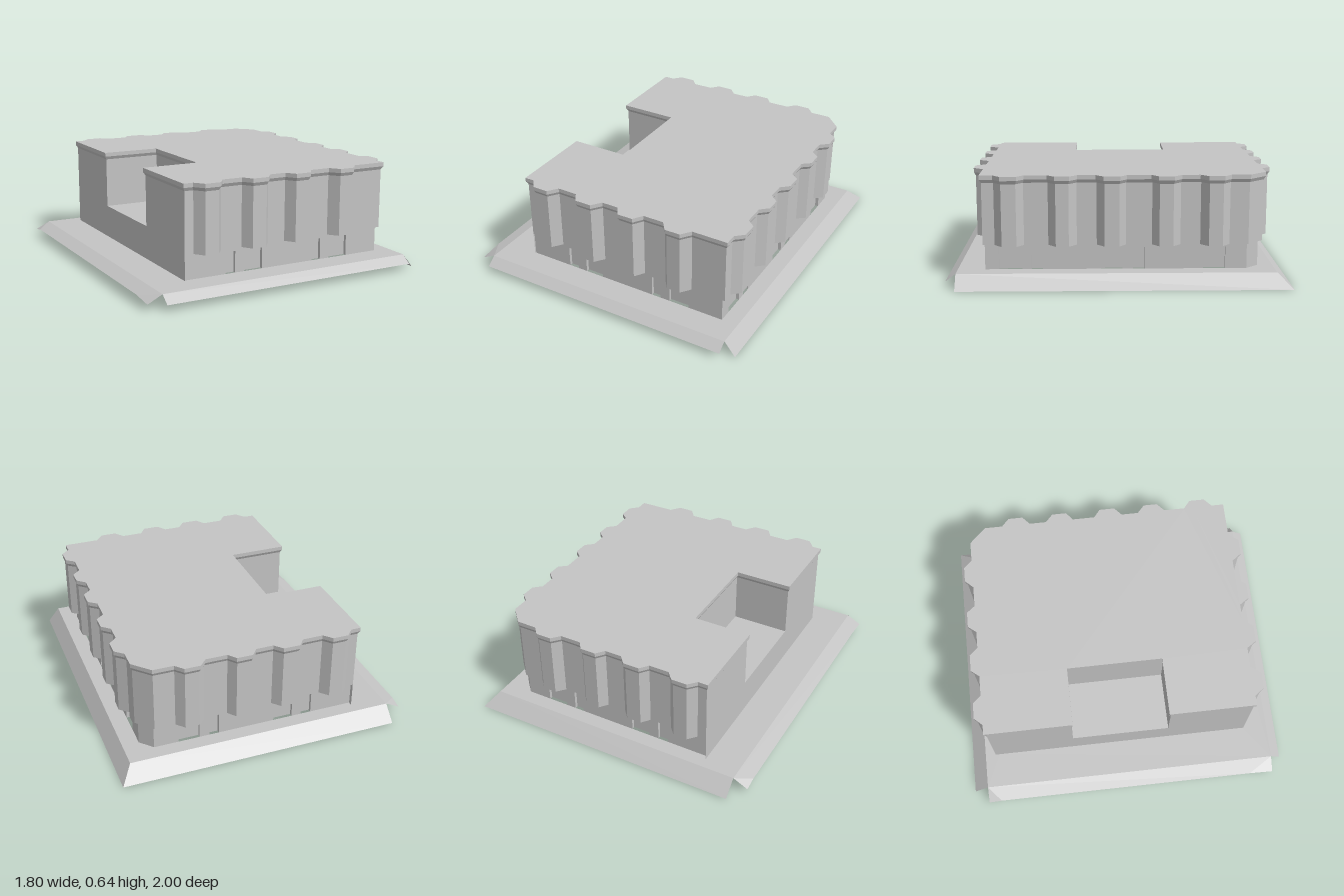
import * as THREE from 'three';

const GROUND = 0.085, LEDGE = 0.235, CORNICE = 0.6, ROOF = 0.645, TERRACE = 0.29;

export function createModel() {
  const group = new THREE.Group();
  const grey = new THREE.MeshStandardMaterial({ color: 0xc4c4c4, side: THREE.DoubleSide, flatShading: true });
  grey.name = 'concreteGrey';

  const add = (name, geometry) => {
    const mesh = new THREE.Mesh(geometry, grey);
    mesh.name = name;
    group.add(mesh);
    return mesh;
  };

  // Flat faces from lists of four corners
  const quads = (list) => {
    const pos = [];
    for (const [a, b, c, d] of list) pos.push(...a, ...b, ...c, ...a, ...c, ...d);
    const g = new THREE.BufferGeometry();
    g.setAttribute('position', new THREE.Float32BufferAttribute(pos, 3));
    g.computeVertexNormals();
    return g;
  };

  // Horizontal sheet; plan points are (x, -z)
  const plan = (pts) => pts.map(([x, y]) => new THREE.Vector2(x, y));
  const sheet = (name, pts, y, hole) => {
    const s = new THREE.Shape(plan(pts));
    if (hole) s.holes.push(new THREE.Path(plan(hole).reverse()));
    const g = new THREE.ShapeGeometry(s);
    g.rotateX(-Math.PI / 2);
    g.translate(0, y, 0);
    add(name, g);
  };

  // Plan outline of the fluted storey, counter-clockwise
  const baysX = [[-0.545, -0.5, -0.415, -0.37], [-0.235, -0.195, -0.105, -0.06],
    [0.055, 0.095, 0.18, 0.22], [0.36, 0.405, 0.49, 0.535]];
  const baysZ = [[0.72, 0.675, 0.59, 0.55], [0.41, 0.365, 0.29, 0.245], [0.13, 0.085, 0, -0.04],
    [-0.19, -0.23, -0.31, -0.355], [-0.47, -0.515, -0.595, -0.64]];
  const front = baysX.flatMap(([a, b, c, d]) => [[a, -0.79], [b, -0.85], [c, -0.85], [d, -0.79]]);
  const back = baysX.flatMap(([a, b, c, d]) => [[a, 0.845], [b, 0.895], [c, 0.895], [d, 0.845]]).reverse();
  const side = baysZ.flatMap(([a, b, c, d]) => [[0.75, -a], [0.8, -b], [0.8, -c], [0.75, -d]]);
  const outer = [[-0.6, -0.28], [-0.6, -0.79], ...front, [0.75, -0.79], ...side, [0.75, 0.75],
    [0.66, 0.845], ...back, [-0.6, 0.845], [-0.6, 0.33]];
  const outline = [...outer, [-0.24, 0.33], [-0.24, -0.28]];
  const n = outline.length;

  // Mitred offset of the outline
  const offset = (o) => outline.map((p, i) => {
    const a = outline[(i + n - 1) % n], b = outline[(i + 1) % n];
    const normal = (s, e) => new THREE.Vector2(e[1] - s[1], s[0] - e[0]).normalize();
    const n1 = normal(a, p), n2 = normal(p, b);
    const m = n1.clone().add(n2).multiplyScalar(o / (1 + n1.dot(n2)));
    return [p[0] + m.x, p[1] + m.y];
  });
  const band = (name, y0, o0, y1, o1, from = 0, to = n) => {
    const lo = offset(o0), hi = offset(o1), list = [];
    for (let i = from; i < to; i++) {
      const j = (i + 1) % n;
      list.push([[lo[i][0], y0, -lo[i][1]], [lo[j][0], y0, -lo[j][1]],
        [hi[j][0], y1, -hi[j][1]], [hi[i][0], y1, -hi[i][1]]]);
    }
    add(name, quads(list));
  };

  // Fluted storey, cornice and roof
  const last = outer.length - 1;
  band('flutedWalls', LEDGE, 0, CORNICE, 0, 0, last);
  band('terraceWalls', TERRACE, 0, CORNICE, 0, last, n);
  band('corniceSlope', CORNICE, 0, 0.62, 0.011);
  band('corniceFascia', 0.62, 0.011, ROOF, 0.011);
  sheet('roof', offset(0.011), ROOF);
  sheet('terraceFloor', [[-0.6, -0.28], [-0.24, -0.28], [-0.24, 0.33], [-0.6, 0.33]], TERRACE);
  add('terraceParapet', quads([[[-0.6, LEDGE, -0.33], [-0.6, LEDGE, 0.28],
    [-0.6, TERRACE, 0.28], [-0.6, TERRACE, -0.33]]]));

  // Ground storey footprint, ledge above it and pavement around it
  const foot = [[-0.599, -0.78], [0.73, -0.78], [0.73, 0.745], [0.66, 0.82], [-0.599, 0.82]];
  sheet('overhangSoffit', outer, LEDGE, foot);
  sheet('pavement', [[-0.81, -0.94], [0.83, -0.94], [0.83, 0.91], [-0.81, 0.91]], GROUND, foot);

  // Ground storey wall with recessed openings, running from a to b (plan points)
  const wall = (name, a, b, openings) => {
    const len = Math.hypot(b[0] - a[0], b[1] - a[1]), h = LEDGE - GROUND, depth = 0.02;
    const pts = [[0, 0]];
    for (const [s, e] of openings) pts.push([s, 0], [s, 0.13], [e, 0.13], [e, 0]);
    pts.push([len, 0], [len, h], [0, h]);
    const g = new THREE.ExtrudeGeometry(new THREE.Shape(plan(pts)), { depth, bevelEnabled: false });
    g.translate(0, 0, -depth);
    const holder = new THREE.Group();
    holder.name = name;
    holder.add(add(name + 'Face', g));
    for (const [s, e] of openings) {
      const pane = new THREE.PlaneGeometry(e - s, 0.13);
      pane.translate((s + e) / 2, 0.065, -depth);
      holder.add(add('recessedPanel', pane));
    }
    holder.position.set(a[0], GROUND, -a[1]);
    holder.rotation.y = Math.atan2(b[1] - a[1], b[0] - a[0]);
    group.add(holder);
  };
  const openX = [[-0.335, -0.27], [-0.21, -0.09], [0.26, 0.32], [0.38, 0.51]];
  const openZ = [[0.7, 0.565], [0.51, 0.445], [0.105, -0.02], [-0.08, -0.15], [-0.49, -0.62]];
  wall('frontLowerWall', [-0.6, -0.78], [0.73, -0.78], openX.map(([s, e]) => [s + 0.6, e + 0.6]));
  wall('leftLowerWall', [0.73, -0.78], [0.73, 0.745], openZ.map(([s, e]) => [0.78 - s, 0.78 - e]));
  wall('chamferLowerWall', [0.73, 0.745], [0.66, 0.82], []);
  wall('backLowerWall', [0.66, 0.82], [-0.6, 0.82], openX.map(([s, e]) => [0.66 - e, 0.66 - s]).reverse());
  add('rightLowerWall', quads([[[-0.6, GROUND, -0.845], [-0.6, GROUND, 0.79],
    [-0.6, LEDGE, 0.79], [-0.6, LEDGE, -0.845]]]));

  // Sloping skirts around the pavement
  const G = GROUND;
  add('frontSkirt', quads([[[-0.81, G, 0.94], [-0.81, 0.04, 1], [0.83, 0.04, 1], [0.83, G, 0.94]]]));
  add('leftSkirt', quads([[[0.83, G, 0.94], [0.9, 0, 0.94], [0.9, 0, -1], [0.83, G, -0.91]]]));
  add('backSkirt', quads([[[0.83, G, -0.91], [0.9, 0, -1], [-0.81, 0, -1], [-0.81, G, -0.91]]]));
  add('rightSkirt', quads([
    [[-0.81, G, -0.91], [-0.9, 0.055, -0.83], [-0.9, 0.055, 0.79], [-0.81, G, 0.94]],
    [[-0.81, G, -0.91], [-0.9, 0.04, -0.91], [-0.9, 0.055, -0.83], [-0.81, G, -0.91]],
    [[-0.81, G, 0.94], [-0.9, 0.055, 0.79], [-0.9, 0.04, 0.94], [-0.81, G, 0.94]],
  ]));
  return group;
}
